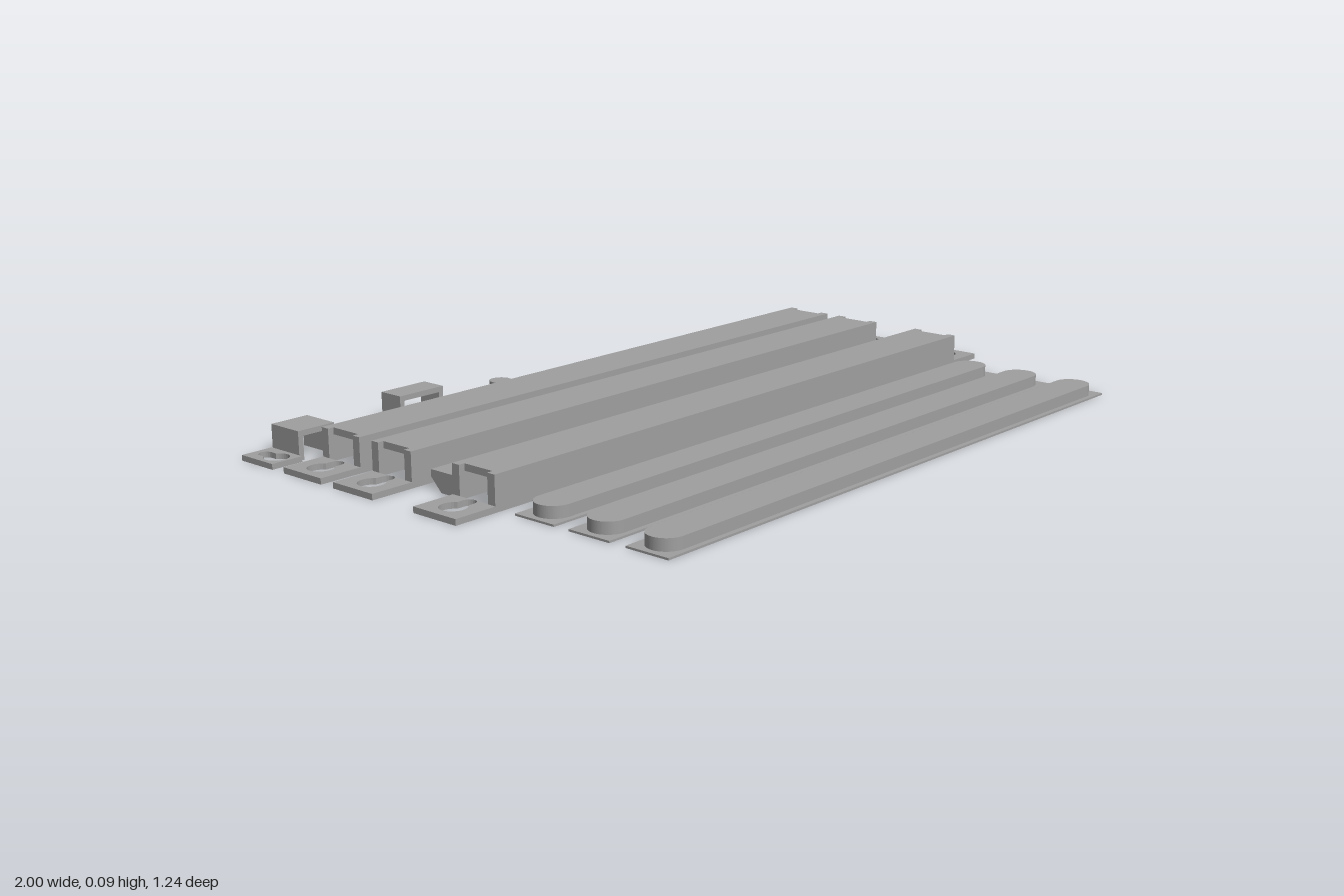
import * as THREE from 'three';

const grey = new THREE.MeshStandardMaterial({ color: 0xa0a0a0 });
grey.name = 'grey plastic';

function add(parent, geometry, name, x = 0, y = 0, z = 0) {
  const mesh = new THREE.Mesh(geometry, grey);
  mesh.name = name;
  mesh.position.set(x, y, z);
  parent.add(mesh);
  return mesh;
}

const polygon = (pts) => new THREE.Shape(pts.map(([a, b]) => new THREE.Vector2(a, b)));

// Outline in x and -z, raised upward
function slab(shape, height) {
  const g = new THREE.ExtrudeGeometry(shape, { depth: height, bevelEnabled: false, curveSegments: 24 });
  return g.rotateX(-Math.PI / 2);
}

// Section in -z and y, drawn out along +x
function bar(shape, length) {
  const g = new THREE.ExtrudeGeometry(shape, { depth: length, bevelEnabled: false });
  return g.rotateY(Math.PI / 2);
}

const rect = (w, d) => polygon([[-w / 2, -d / 2], [w / 2, -d / 2], [w / 2, d / 2], [-w / 2, d / 2]]);

// Round hole with a narrower rounded slot reaching out along an angle
function keyhole(cx, cy, angle, R = 0.033, r = 0.018, reach = 0.045) {
  const pts = [];
  const put = (u, v) => pts.push([
    cx + u * Math.cos(angle) - v * Math.sin(angle),
    cy + u * Math.sin(angle) + v * Math.cos(angle)]);
  const a = Math.asin(r / R);
  for (let i = 0; i <= 24; i++) {
    const t = a + (i / 24) * (2 * Math.PI - 2 * a);
    put(R * Math.cos(t), R * Math.sin(t));
  }
  for (let i = 0; i <= 10; i++) {
    const t = -Math.PI / 2 + (i / 10) * Math.PI;
    put(reach + r * Math.cos(t), r * Math.sin(t));
  }
  return polygon(pts);
}

function stadium(length, width) {
  const r = width / 2, s = length / 2 - r;
  const shape = new THREE.Shape();
  shape.moveTo(-s, -r);
  shape.lineTo(s, -r);
  shape.absarc(s, 0, r, -Math.PI / 2, Math.PI / 2, false);
  shape.lineTo(-s, r);
  shape.absarc(-s, 0, r, Math.PI / 2, Math.PI * 1.5, false);
  return shape;
}

// Open-bottomed channel with a keyhole tab at each end
function makeChannel(z) {
  const group = new THREE.Group();
  group.name = 'channel';
  group.position.z = z;
  const h = 0.087, w = 0.068, i = 0.045, lip = 0.06;
  const section = polygon([
    [-w, 0], [-lip, 0], [-lip, 0.006], [-i, 0.006], [-i, 0.07], [i, 0.07],
    [i, 0.006], [lip, 0.006], [lip, 0], [w, 0], [w, h], [-w, h]]);
  add(group, bar(section, 1.746), 'channelBody', -0.869);
  // Corner posts leave the top notched at both ends
  for (const x of [-0.877, 0.885]) {
    for (const side of [-1, 1]) {
      add(group, new THREE.BoxGeometry(0.016, h, w - i), 'endPost', x, h / 2, side * (w + i) / 2);
    }
  }
  for (const [x0, x1, angle] of [[-1, -0.885, 0], [0.877, 1, Math.PI]]) {
    const tab = polygon([[x0, -w], [x1, -w], [x1, w], [x0, w]]);
    tab.holes.push(keyhole(angle ? 0.945 : -0.945, 0, angle));
    add(group, slab(tab, 0.015), 'mountingTab');
  }
  return group;
}

// Thin flange carrying a hollow raised lens
function makeLens(z) {
  const group = new THREE.Group();
  group.name = 'lens';
  group.position.z = z;
  const inner = () => stadium(1.694, 0.076);
  const flange = rect(1.74, 0.118);
  flange.holes.push(inner());
  add(group, slab(flange, 0.005), 'lensFlange');
  const wall = stadium(1.71, 0.092);
  wall.holes.push(inner());
  add(group, slab(wall, 0.021), 'lensWall', 0, 0.005);
  add(group, slab(stadium(1.71, 0.092), 0.008), 'lensTop', 0, 0.026);
  return group;
}

// Raised strap between two keyhole feet
function makeClip(x0, x1, foot, height, zBack, zFront) {
  const group = new THREE.Group();
  group.name = 'clip';
  const a = x0 + foot, b = x1 - foot, t = 0.014;
  for (const [p, q] of [[x0, a], [b, x1]]) {
    const plate = polygon([[p, 0.503], [q, 0.503], [q, 0.619], [p, 0.619]]);
    plate.holes.push(keyhole((p + q) / 2, 0.543, Math.PI / 2, 0.031, 0.017, 0.043));
    add(group, slab(plate, 0.014), 'clipFoot');
  }
  const arch = polygon([[a, 0], [a + t, 0], [a + t, height - t], [b - t, height - t],
    [b - t, 0], [b, 0], [b, height], [a, height]]);
  const g = new THREE.ExtrudeGeometry(arch, { depth: zFront - zBack, bevelEnabled: false });
  add(group, g, 'clipStrap', 0, 0, zBack);
  return group;
}

export function createModel() {
  const model = new THREE.Group();
  model.name = 'lightStripKit';

  for (const z of [-0.392, -0.212, 0.061]) model.add(makeChannel(z));
  for (const z of [0.233, 0.395, 0.559]) model.add(makeLens(z));

  // Wedge brackets on the back of the front channel
  const wedge = polygon([[0.006, 0], [0.068, 0], [0.101, 0.033], [0.101, 0.05], [0.006, 0.05]]);
  for (const x of [-0.865, -0.425, 0.32, 0.575]) add(model, bar(wedge, 0.1), 'wedgeBracket', x);

  model.add(makeClip(-1, -0.722, 0.086, 0.073, -0.615, -0.513));
  model.add(makeClip(-0.652, -0.35, 0.08, 0.084, -0.619, -0.548));

  // Flanged stud
  const stud = new THREE.Group();
  stud.name = 'stud';
  stud.position.set(-0.238, 0, -0.54);
  add(stud, new THREE.CylinderGeometry(0.039, 0.039, 0.009, 40), 'studFlange', 0, 0.0045);
  add(stud, new THREE.CylinderGeometry(0.029, 0.029, 0.055, 40), 'studBody', 0, 0.0365);
  model.add(stud);

  return model;
}
